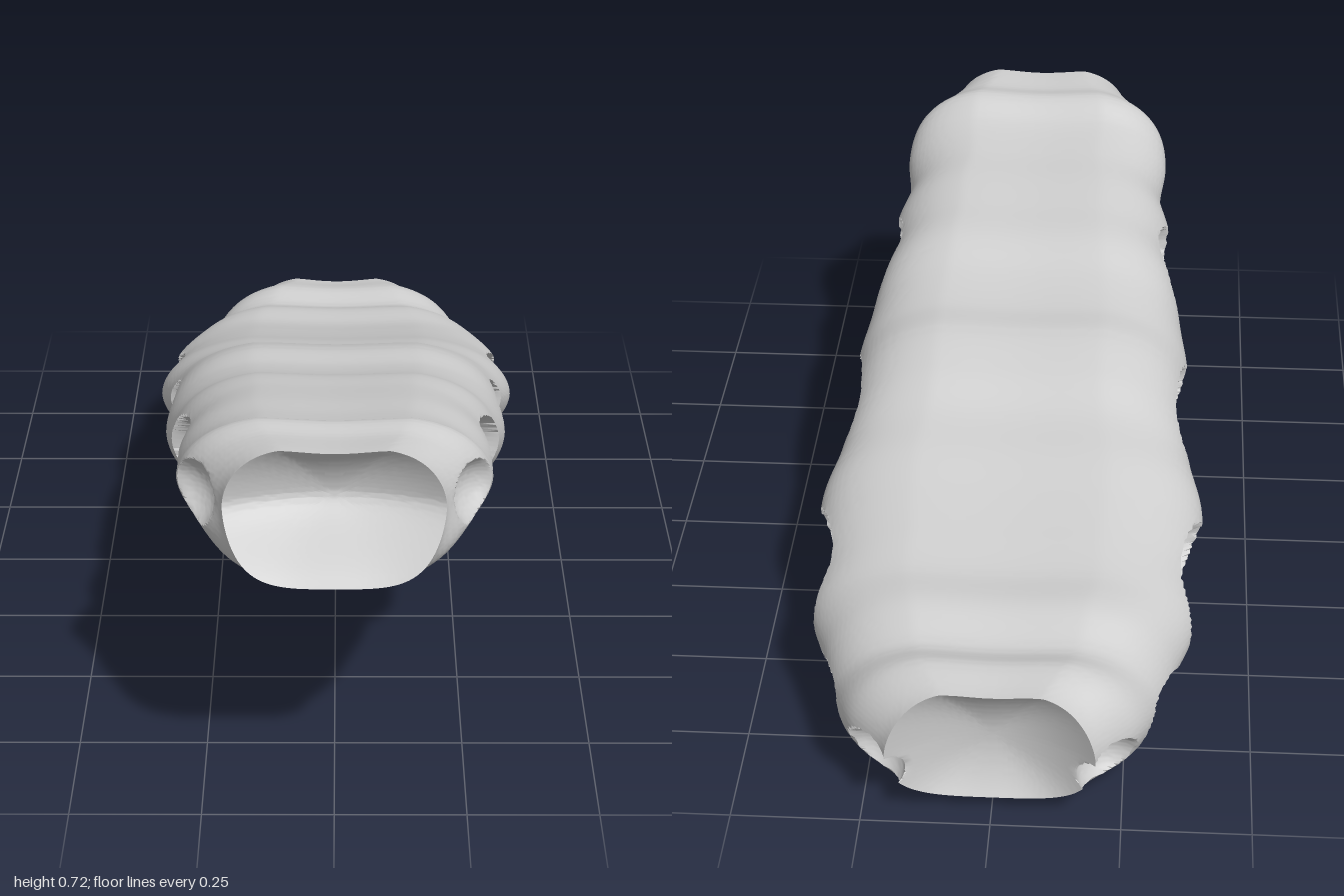
import * as THREE from 'three';
import { toCreasedNormals } from 'three/addons/utils/BufferGeometryUtils.js';

// Profiles sampled every 0.1 along z, from the back (-1) to the front (+1)
const TOP = [.28, .295, .28, .315, .32, .345, .375, .41, .44, .49, .525, .53, .555, .6, .62, .64, .655, .68, .72, .715, .72];
const BOTTOM = [.03, .015, 0, .02, .06, .065, .08, .12, .165, .185, .195, .2, .24, .28, .285, .31, .38, .44, .46, .46, .485];
const WIDTH = [.2, .28, .32, .35, .385, .385, .395, .395, .37, .355, .355, .36, .345, .33, .315, .315, .29, .3, .29, .255, .205];

// Hollows on each side: centre x, y, z; radii depth, length, height; turn towards +z; slope
const HOLLOWS = [
  [.295, .59, .83, .08, .085, .07, .35, 0],
  [.315, .445, .385, .1, .138, .085, 0, -.2],
  [.355, .33, -.035, .11, .152, .077, 0, -.12],
  [.39, .2, -.475, .11, .155, .082, 0, -.2],
  [.335, .105, -.765, .1, .108, .066, -.3, -.1],
  [.235, .11, -.955, .07, .075, .06, -.85, 0],
];

const smooth = THREE.MathUtils.smoothstep;

// Catmull-Rom lookup in a profile
function sample(table, t) {
  const f = (t + 1) * 10;
  const i = Math.min(19, Math.floor(f));
  const u = f - i;
  const at = k => table[Math.max(0, Math.min(20, k))];
  const [a, b, c, d] = [at(i - 1), at(i), at(i + 1), at(i + 2)];
  return b + .5 * u * (c - a + u * (2 * a - 5 * b + 4 * c - d + u * (3 * (b - c) + d - a)));
}

// Unit cross-section: flat above and below, with sloping sides
function unitSection(count) {
  const points = [];
  for (let j = 0; j < count; j++) {
    const angle = j / count * Math.PI * 2;
    const c = Math.cos(angle), s = Math.sin(angle);
    let lo = .5, hi = 2;
    for (let k = 0; k < 30; k++) {
      const r = (lo + hi) / 2;
      if (Math.abs(r * c) ** 3.5 + Math.abs(r * s) ** 1.8 < 1) lo = r; else hi = r;
    }
    points.push([lo * c, lo * s]);
  }
  return points;
}

// Press a point into the bowl of any hollow it lies in
function carve(p) {
  const side = p.x < 0 ? -1 : 1;
  for (const [cx, cy, cz, depth, length, height, turn, slope] of HOLLOWS) {
    const dx = p.x * side - cx, dz = p.z - cz;
    const c = Math.cos(turn), s = Math.sin(turn);
    const out = dx * c + dz * s;
    const along = dz * c - dx * s;
    const up = p.y - cy + slope * along;
    const d = (along / length) ** 2 + (up / height) ** 2;
    if (d >= 1 || Math.abs(out) > .16) continue;
    const floor = -depth * Math.sqrt(1 - d);
    if (out > floor) {
      p.x += side * (floor - out) * c;
      p.z += (floor - out) * s;
    }
  }
}

// Slab lofted along z, closed by dished ends
function bodyGeometry() {
  const columns = 184, length = 230, cap = 18;
  const section = unitSection(columns);
  const rows = [];
  for (let i = 0; i < cap; i++) rows.push([-1, i / cap]);
  for (let i = 0; i <= length; i++) rows.push([-1 + 2 * i / length, 1]);
  for (let i = cap - 1; i >= 0; i--) rows.push([1, i / cap]);

  const positions = [], index = [];
  const p = new THREE.Vector3();
  for (const [t, scale] of rows) {
    const top = sample(TOP, t), bottom = sample(BOTTOM, t), width = sample(WIDTH, t);
    const middle = (top + bottom) / 2, half = (top - bottom) / 2;
    const front = smooth(t, .65, 1), back = smooth(-t, .75, 1);
    for (const [sx, sy] of section) {
      p.set(sx * width * scale, middle + sy * half * scale, t);
      // Shallow trough down the upper face
      if (sy > 0) p.y -= .012 * sy * Math.max(0, 1 - (2 * sx) ** 2) * scale;
      // Slanted front rim and notched back rim, both dished inwards
      p.z -= front * .1 * smooth(sy * scale, -1, .1);
      p.z += back * .045 * (sy * scale) ** 2;
      const dish = 1 - scale * scale;
      p.z -= Math.sign(t) * dish * (t > 0 ? .045 : .085);
      carve(p);
      positions.push(p.x, p.y, p.z);
    }
  }
  for (let i = 0; i < rows.length - 1; i++) {
    for (let j = 0; j < columns; j++) {
      const k = (j + 1) % columns;
      const a = i * columns + j, b = i * columns + k;
      index.push(a, b, b + columns, a, b + columns, a + columns);
    }
  }
  const geometry = new THREE.BufferGeometry();
  geometry.setAttribute('position', new THREE.Float32BufferAttribute(positions, 3));
  geometry.setIndex(index);
  return toCreasedNormals(geometry, .7);
}

export function createModel() {
  const group = new THREE.Group();
  group.name = 'hollowedSlab';
  const material = new THREE.MeshStandardMaterial({ color: 0xcccccc, side: THREE.DoubleSide });
  const body = new THREE.Mesh(bodyGeometry(), material);
  body.name = 'bodyWithSideHollows';
  group.add(body);
  return group;
}
